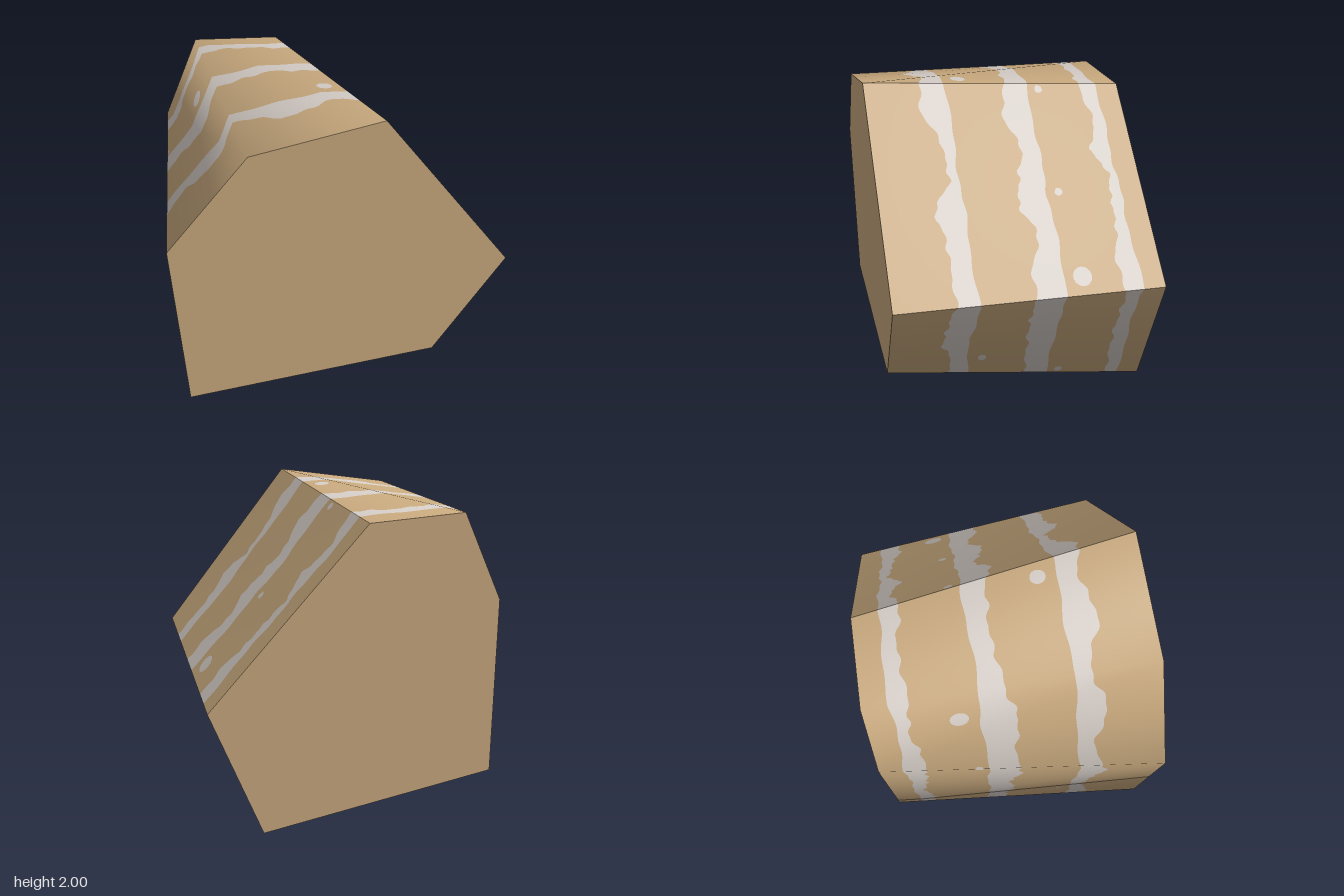
import * as THREE from 'three';

const HALF_DEPTH = 0.81;
// Six-sided outline, counterclockwise from the top, at the front and the back
const FRONT = [[0.18, 2], [-0.55, 1.9], [-1, 1.4], [-0.96, 0.335], [0.575, 0.335], [1, 0.96]];
const BACK = [[-0.01, 1.86], [-0.55, 1.9], [-0.78, 1.4], [-0.78, 0.335], [0.6, 0.09], [0.89, 0.855]];
const BOTTOM_SIDE = 3;
const FLAT_SIDE = 5;
const STEPS = 64;

// Bands: fairly straight rear edge, ragged front edge given every 15 degrees from -180
const BANDS = [
  { rear: 0.33, edge: [.43, .40, .46, .41, .39, .44, .40, .43, .50, .43, .50, .49, .46, .46, .50, .39, .40, .50, .45, .51, .42, .50, .42, .49] },
  { rear: -0.19, edge: [-.06, -.03, -.08, -.05, -.10, -.06, -.04, -.08, -.05, -.03, -.02, 0, 0, -.08, 0, -.03, -.08, 0, -.06, -.08, -.05, .01, -.02, 0] },
  { rear: -0.66, edge: [-.57, -.60, -.55, -.59, -.56, -.60, -.57, -.59, -.60, -.57, -.56, -.57, -.53, -.58, -.59, -.61, -.53, -.59, -.54, -.58, -.56, -.59, -.54, -.55] },
];
// Loose spots: x, y, z, radius
const SPOTS = [
  [-0.65, 1.72, -0.31, 0.055], [0.86, 0.98, -0.3, 0.06], [0.02, 1.96, 0.23, 0.045],
  [0.5, 1.36, -0.26, 0.027], [0.08, 1.88, -0.26, 0.027], [0.61, 0.4, 0.24, 0.04],
  [0.6, 0.21, -0.26, 0.025], [-0.85, 1.39, -0.24, 0.025], [-0.89, 0.65, 0.26, 0.03],
];

// Positive inside a band or spot, negative on plain stone
function bandField(p) {
  const angle = Math.atan2(p.y - 1, p.x);
  const t = (angle / Math.PI + 1) * 12;
  const i = Math.floor(t);
  const s = (t - i) * (t - i) * (3 - 2 * (t - i));
  const ripple = 0.008 * Math.sin(angle * 31) + 0.006 * Math.sin(angle * 53 + 1);
  let f = -1;
  for (const { rear, edge } of BANDS) {
    const front = edge[i % 24] * (1 - s) + edge[(i + 1) % 24] * s + ripple;
    const back = rear + 0.008 * Math.sin(angle * 9 + rear * 20) + 0.005 * Math.sin(angle * 23);
    f = Math.max(f, Math.min(p.z - back, front - p.z));
  }
  for (const [x, y, z, r] of SPOTS) f = Math.max(f, r - Math.hypot(p.x - x, p.y - y, p.z - z));
  return f;
}

// Corner normals averaged over a group of triangles
function smoothNormals(triangles) {
  const normals = new Map();
  for (const [a, b, c] of triangles) {
    const n = b.clone().sub(a).cross(c.clone().sub(a));
    for (const p of [a, b, c]) {
      if (!normals.has(p)) normals.set(p, new THREE.Vector3());
      normals.get(p).add(n);
    }
  }
  normals.forEach((n) => n.normalize());
  return normals;
}

function mix(a, b, t) {
  return { p: a.p.clone().lerp(b.p, t), n: a.n.clone().lerp(b.n, t), f: 0 };
}

// Cuts a triangle along the band edge and keeps the part on one side
function keepSide(tri, sign, out) {
  const poly = [];
  tri.forEach((a, i) => {
    const b = tri[(i + 1) % 3];
    if (a.f * sign >= 0) poly.push(a);
    if (a.f * b.f < 0) poly.push(mix(a, b, a.f / (a.f - b.f)));
  });
  for (let i = 1; i + 1 < poly.length; i++) {
    for (const v of [poly[0], poly[i], poly[i + 1]]) {
      out.positions.push(v.p.x, v.p.y, v.p.z);
      const n = v.n.clone().normalize();
      out.normals.push(n.x, n.y, n.z);
    }
  }
}

// Divides a large triangle finely and sorts the pieces into stone and band
function paintTriangle(corners, normals, stone, band) {
  const blend = (vs, i, j) => new THREE.Vector3()
    .addScaledVector(vs[0], 1 - (i + j) / STEPS)
    .addScaledVector(vs[1], i / STEPS)
    .addScaledVector(vs[2], j / STEPS);
  const ns = corners.map((c) => normals.get(c));
  const grid = [];
  for (let i = 0; i <= STEPS; i++) {
    grid.push([]);
    for (let j = 0; i + j <= STEPS; j++) {
      const p = blend(corners, i, j);
      grid[i].push({ p, n: blend(ns, i, j), f: bandField(p) });
    }
  }
  const emit = (...tri) => {
    keepSide(tri, -1, stone);
    keepSide(tri, 1, band);
  };
  for (let i = 0; i < STEPS; i++) {
    for (let j = 0; i + j < STEPS; j++) {
      emit(grid[i][j], grid[i + 1][j], grid[i][j + 1]);
      if (i + j + 1 < STEPS) emit(grid[i + 1][j], grid[i + 1][j + 1], grid[i][j + 1]);
    }
  }
}

function toMesh(name, data, material) {
  const g = new THREE.BufferGeometry();
  g.setAttribute('position', new THREE.Float32BufferAttribute(data.positions, 3));
  g.setAttribute('normal', new THREE.Float32BufferAttribute(data.normals, 3));
  const mesh = new THREE.Mesh(g, material);
  mesh.name = name;
  return mesh;
}

export function createModel() {
  const group = new THREE.Group();
  group.name = 'bandedRock';
  const sandstone = new THREE.MeshStandardMaterial({ color: 0xc8a97e });
  sandstone.name = 'sandstone';
  const paleMineral = new THREE.MeshStandardMaterial({ color: 0xd5cdc7 });
  paleMineral.name = 'paleMineral';

  // Side walls; the underside rises from a single low point
  const front = FRONT.map(([x, y]) => new THREE.Vector3(x, y, HALF_DEPTH));
  const back = BACK.map(([x, y]) => new THREE.Vector3(x, y, -HALF_DEPTH));
  const lowPoint = new THREE.Vector3(-0.15, 0, -0.35);
  const rounded = [];
  const flat = [];
  for (let i = 0; i < 6; i++) {
    const j = (i + 1) % 6;
    const quad = [front[i], back[i], back[j], front[j]];
    if (i === BOTTOM_SIDE) {
      quad.forEach((p, k) => rounded.push([p, quad[(k + 1) % 4], lowPoint]));
    } else {
      (i === FLAT_SIDE ? flat : rounded).push([quad[0], quad[1], quad[2]], [quad[0], quad[2], quad[3]]);
    }
  }
  const stone = { positions: [], normals: [] };
  const band = { positions: [], normals: [] };
  for (const side of [rounded, flat]) {
    const normals = smoothNormals(side);
    for (const tri of side) paintTriangle(tri, normals, stone, band);
  }
  group.add(toMesh('rockSides', stone, sandstone), toMesh('mineralBands', band, paleMineral));

  // Flat cut faces at both ends
  const cap = (name, points, facing) => {
    const shape = new THREE.Shape(points.map(([x, y]) => new THREE.Vector2(x * facing, y)));
    const mesh = new THREE.Mesh(new THREE.ShapeGeometry(shape), sandstone);
    mesh.name = name;
    mesh.position.z = HALF_DEPTH * facing;
    if (facing < 0) mesh.rotation.y = Math.PI;
    group.add(mesh);
  };
  cap('frontFace', FRONT, 1);
  cap('backFace', BACK, -1);
  return group;
}
